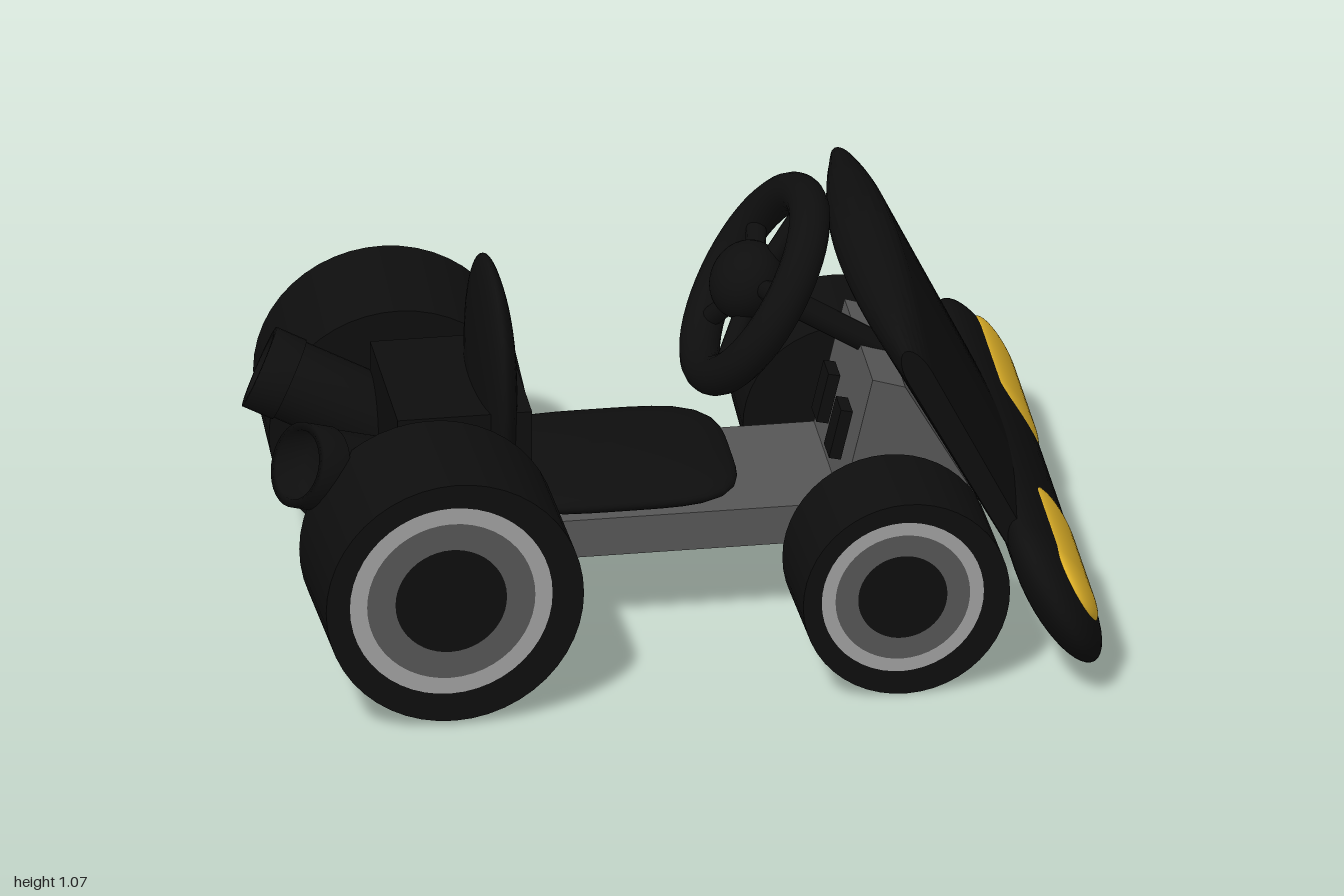
import * as THREE from 'three';

const material = (name, color) => {
  const m = new THREE.MeshStandardMaterial({ color });
  m.name = name;
  return m;
};

export function createModel() {
  const kart = new THREE.Group();
  kart.name = 'kart';
  const black = material('black', 0x0e0e0e);
  const grey = material('chassisGrey', 0x565656);
  const silver = material('rimSilver', 0xa0a0a0);
  const yellow = material('lampYellow', 0xe0b228);

  const add = (name, geometry, mat, position = [0, 0, 0], parent = kart) => {
    const mesh = new THREE.Mesh(geometry, mat);
    mesh.name = name;
    mesh.position.set(...position);
    parent.add(mesh);
    return mesh;
  };
  const addGroup = (name, position, parent = kart) => {
    const g = new THREE.Group();
    g.name = name;
    g.position.set(...position);
    parent.add(g);
    return g;
  };
  // Cylinder lying along z
  const roller = (radius, length) =>
    new THREE.CylinderGeometry(radius, radius, length, 48).rotateX(Math.PI / 2);
  // Side profile in x/y, extruded symmetrically along z
  const profile = (points, depth, steps = 1) =>
    new THREE.ExtrudeGeometry(new THREE.Shape(points.map(p => new THREE.Vector2(...p))),
      { depth, steps, bevelEnabled: false }).translate(0, 0, -depth / 2);
  // Sphere squared off in two directions, like a stuffed pad
  const cushion = (rx, ry, rz, power, axes) => {
    const g = new THREE.SphereGeometry(1, 40, 28);
    const p = g.attributes.position;
    for (let i = 0; i < p.count; i++) {
      const v = new THREE.Vector3().fromBufferAttribute(p, i);
      const [a, b] = axes;
      const r = Math.hypot(v[a], v[b]);
      if (r > 1e-5) {
        const c = Math.abs(v[a] / r), s = Math.abs(v[b] / r);
        const k = Math.pow(Math.pow(c, power) + Math.pow(s, power), -1 / power);
        v[a] *= k;
        v[b] *= k;
      }
      p.setXYZ(i, v.x * rx, v.y * ry, v.z * rz);
    }
    g.computeVertexNormals();
    return g;
  };

  // Wheels: fat tyre with concentric hub discs on the outer face
  const wheels = [
    ['frontWheelA', [0.515, 0.255, 0.502], 0.255, 0.28, 0.2, 0.03],
    ['frontWheelB', [0.53, 0.255, -0.49], 0.255, 0.28, 0.2, -0.03],
    ['rearWheelA', [-0.595, 0.33, 0.467], 0.318, 0.36, 0.25, 0.03],
    ['rearWheelB', [-0.57, 0.33, -0.497], 0.318, 0.36, 0.25, -0.045],
  ];
  for (const [name, pos, radius, width, rim, yaw] of wheels) {
    const wheel = addGroup(name, pos);
    wheel.rotation.y = yaw + (pos[2] < 0 ? Math.PI : 0);
    add('tyre', roller(radius, width), black, [0, 0, 0], wheel);
    const hub = addGroup('hub', [pos[2] < 0 ? 0.01 : -0.01, 0.008, width / 2], wheel);
    add('rimRing', new THREE.RingGeometry(rim * 0.83, rim, 48), silver, [0, 0, 0.003], hub);
    add('rimDisc', new THREE.RingGeometry(rim * 0.55, rim * 0.83, 48), grey, [0, 0, 0.003], hub);
    add('hubCap', new THREE.CircleGeometry(rim * 0.55, 40), black, [0, 0, 0.003], hub);
  }

  // Chassis, axles and footwell
  add('floor', new THREE.BoxGeometry(1.32, 0.1, 0.45), grey, [0.01, 0.27, 0]);
  add('frontAxle', roller(0.04, 0.8), grey, [0.52, 0.255, 0]);
  add('rearAxle', roller(0.045, 0.8), grey, [-0.59, 0.3, 0]);
  add('footwell', profile([[0.42, 0.3], [0.66, 0.24], [0.76, 0.3], [0.58, 0.62], [0.5, 0.645]], 0.45), grey);
  for (const z of [-0.1, 0.1]) {
    const pedal = add('pedal', new THREE.BoxGeometry(0.03, 0.13, 0.08), black, [0.435, 0.46, z]);
    pedal.rotation.z = -0.23;
  }

  // Seat
  add('seatPad', cushion(0.3, 0.055, 0.26, 4, ['x', 'z']), black, [-0.115, 0.37, 0.01]);
  add('seatBack', cushion(0.053, 0.3, 0.26, 2.4, ['y', 'z']), black, [-0.405, 0.615, 0.01]);

  // Engine and flared-out exhaust pipes
  add('engine', new THREE.BoxGeometry(0.33, 0.32, 0.44), black, [-0.5, 0.46, 0]);
  const pipeProfile = [[0, 0], [0.1, 0], [0.1, 0.42], [0.105, 0.42], [0.105, 0.5],
    [0.085, 0.5], [0.08, 0.42], [0, 0.42]].map(p => new THREE.Vector2(...p));
  for (const [tip, dir] of [
    [[-0.92, 0.55, 0.28], [-0.85, 0.38, 0.36]],
    [[-0.93, 0.55, -0.265], [-0.88, 0.38, -0.25]],
  ]) {
    const axis = new THREE.Vector3(...dir).normalize();
    const start = new THREE.Vector3(...tip).addScaledVector(axis, -0.5);
    const pipe = add('exhaustPipe', new THREE.LatheGeometry(pipeProfile, 32), black, start.toArray());
    pipe.quaternion.setFromUnitVectors(new THREE.Vector3(0, 1, 0), axis);
  }

  // Steering wheel: local +y points at the driver
  const steering = addGroup('steeringWheel', [0.245, 0.815, 0]);
  steering.rotation.z = 1.012;
  add('rim', new THREE.TorusGeometry(0.245, 0.05, 16, 48).rotateX(Math.PI / 2), black, [0, 0, 0], steering);
  add('hub', new THREE.SphereGeometry(0.1, 28, 20).scale(1, 0.85, 1), black, [0, 0.025, 0], steering);
  add('column', new THREE.CylinderGeometry(0.032, 0.032, 0.42, 20), black, [0, -0.2, 0], steering);
  for (let i = 0; i < 5; i++) {
    const spoke = add('spoke', new THREE.CylinderGeometry(0.025, 0.025, 0.24, 12)
      .rotateZ(Math.PI / 2).translate(0.12, 0, 0), black, [0, 0, 0], steering);
    spoke.rotation.y = i * Math.PI * 2 / 5;
  }

  // Leaning front panel: rounded slab, thinner and lower toward its sides
  const tilt = 0.478;
  const panel = addGroup('frontPanel', [0.525, 0.89, 0]);
  panel.rotation.z = tilt;
  const outline = [];
  for (let i = 0; i <= 12; i++) {
    const a = i / 12 * Math.PI;
    outline.push([0.08 * Math.cos(a), 0.08 * Math.sin(a)]);
  }
  outline.push([-0.06, -0.72], [0.06, -0.72]);
  const slab = profile(outline, 1.13, 24);
  const p = slab.attributes.position;
  for (let i = 0; i < p.count; i++) {
    const t = (p.getZ(i) / 0.565) ** 2;
    const y = p.getY(i);
    p.setX(i, p.getX(i) * (1 - 0.6 * t));
    if (y > -0.1) p.setY(i, y - 0.085 * t);
  }
  slab.computeVertexNormals();
  add('panelSlab', slab, black, [0, 0, 0], panel);

  // Bumper and lamps: flattened capsules lying along z
  const bumper = addGroup('bumper', [0.89, 0.235, 0]);
  bumper.rotation.z = tilt;
  const bar = (radius, length, thickness) =>
    new THREE.CapsuleGeometry(radius, length, 16, 40).rotateX(Math.PI / 2).scale(thickness / radius, 1, 1);
  add('bumperBar', bar(0.2, 1.2, 0.07), black, [0, 0, 0], bumper);
  for (const z of [-0.472, 0.472]) {
    add('headlamp', bar(0.106, 0.325, 0.03), yellow, [0.05, 0.005, z], bumper);
  }
  return kart;
}
